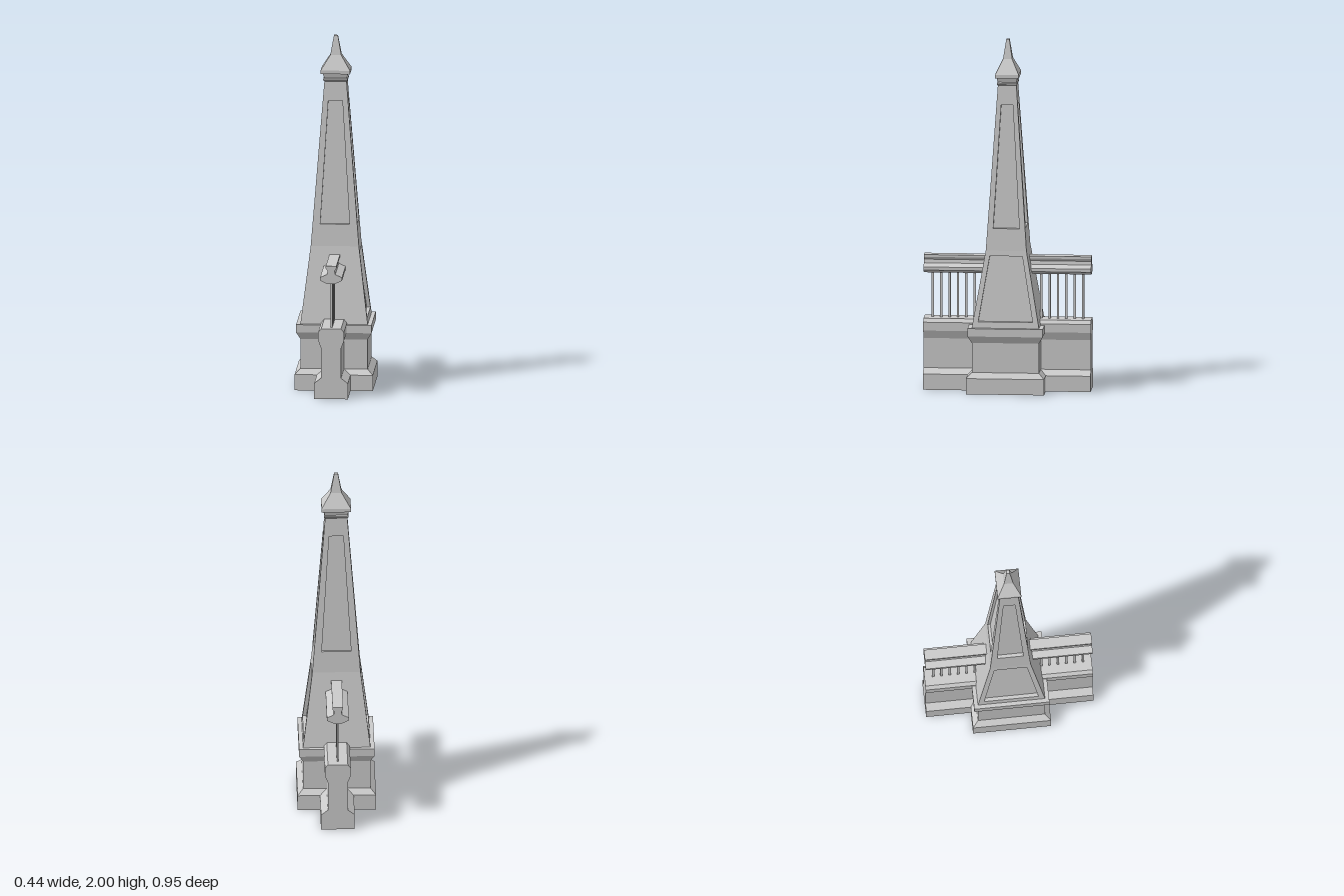
import * as THREE from 'three';

const material = new THREE.MeshStandardMaterial({ color: 0xcccccc, flatShading: true });

function addMesh(parent, name, geometry) {
  const mesh = new THREE.Mesh(geometry, material);
  mesh.name = name;
  parent.add(mesh);
  return mesh;
}

// Flat-faced geometry from quads, corners counter-clockwise seen from outside
function quadGeometry(quads) {
  const positions = [];
  for (const [a, b, c, d] of quads) {
    for (const p of [a, b, c, a, c, d]) positions.push(...p);
  }
  const geometry = new THREE.BufferGeometry();
  geometry.setAttribute('position', new THREE.Float32BufferAttribute(positions, 3));
  geometry.computeVertexNormals();
  return geometry;
}

// Closed stack of rectangular sections, rows of [y, halfX, halfZ]
function rectStack(rows) {
  const rings = rows.map(([y, x, z]) => [[-x, y, z], [x, y, z], [x, y, -z], [-x, y, -z]]);
  const quads = [];
  for (let i = 0; i < rings.length - 1; i++) {
    for (let k = 0; k < 4; k++) {
      const n = (k + 1) % 4;
      quads.push([rings[i][k], rings[i][n], rings[i + 1][n], rings[i + 1][k]]);
    }
  }
  quads.push([...rings[0]].reverse(), rings[rings.length - 1]);
  return quadGeometry(quads);
}

// Tapered face towards +z; bottom and top are [y, halfWidth, distance].
// An optional panel { bottom: [y, halfWidth], top: [y, halfWidth], depth } is sunk into it.
function shaftFace(bottom, top, panel) {
  const at = (x, y, inset = 0) => {
    const t = (y - bottom[0]) / (top[0] - bottom[0]);
    return [x, y, THREE.MathUtils.lerp(bottom[2], top[2], t) - inset];
  };
  const loop = ([y0, w0], [y1, w1], inset) =>
    [at(-w0, y0, inset), at(w0, y0, inset), at(w1, y1, inset), at(-w1, y1, inset)];
  const outer = loop(bottom, top);
  if (!panel) return [outer];
  const rim = loop(panel.bottom, panel.top);
  const floor = loop(panel.bottom, panel.top, panel.depth);
  const quads = [floor];
  for (let k = 0; k < 4; k++) {
    const n = (k + 1) % 4;
    quads.push([outer[k], outer[n], rim[n], rim[k]]);
    quads.push([rim[k], rim[n], floor[n], floor[k]]);
  }
  return quads;
}

// Mirrored profile of [halfX, y] points, extruded along z
function profileBar(points, z0, z1) {
  const left = points.map(([x, y]) => [-x, y]).reverse();
  const shape = new THREE.Shape([...points, ...left].map(([x, y]) => new THREE.Vector2(x, y)));
  const geometry = new THREE.ExtrudeGeometry(shape, { depth: z1 - z0, bevelEnabled: false });
  return geometry.translate(0, 0, z0);
}

export function createModel() {
  const model = new THREE.Group();
  model.name = 'obeliskWithRailings';

  // Moulded square pedestal
  addMesh(model, 'pedestal', rectStack([
    [0, 0.221, 0.221], [0.09, 0.221, 0.221], [0.12, 0.19, 0.19],
    [0.29, 0.19, 0.19], [0.33, 0.213, 0.213], [0.375, 0.213, 0.213],
  ]));

  // Shaft in two tapers, sections as [y, halfX, halfZ]
  const foot = [0.375, 0.19, 0.19], knee = [0.81, 0.136, 0.115], head = [1.75, 0.062, 0.052];
  const frontSection = ([y, x, z]) => [y, x, z];
  const sideSection = ([y, x, z]) => [y, z, x];
  const frontQuads = [
    ...shaftFace(frontSection(foot), frontSection(knee)),
    ...shaftFace(frontSection(knee), frontSection(head),
      { bottom: [0.935, 0.083], top: [1.635, 0.04], depth: 0.015 }),
  ];
  const sideQuads = [
    ...shaftFace(sideSection(foot), sideSection(knee),
      { bottom: [0.41, 0.154], top: [0.78, 0.092], depth: 0.021 }),
    ...shaftFace(sideSection(knee), sideSection(head),
      { bottom: [0.935, 0.074], top: [1.635, 0.033], depth: 0.02 }),
  ];
  const shaft = new THREE.Group();
  shaft.name = 'shaft';
  model.add(shaft);
  ['shaftFront', 'shaftLeft', 'shaftBack', 'shaftRight'].forEach((name, i) => {
    const face = addMesh(shaft, name, quadGeometry(i % 2 ? sideQuads : frontQuads));
    face.rotation.y = i * Math.PI / 2;
  });

  // Collar and pointed cap
  addMesh(model, 'collar', rectStack([
    [1.742, 0.06, 0.051], [1.75, 0.069, 0.057], [1.758, 0.069, 0.057],
    [1.763, 0.064, 0.053], [1.79, 0.071, 0.059],
  ]));
  addMesh(model, 'cap', rectStack([
    [1.788, 0.083, 0.067], [1.808, 0.083, 0.067], [1.89, 0.031, 0.026], [2, 0.011, 0.009],
  ]));

  // Low wall passing through the pedestal
  addMesh(model, 'lowWall', profileBar([
    [0.095, 0], [0.095, 0.09], [0.056, 0.12], [0.056, 0.29],
    [0.073, 0.335], [0.073, 0.383], [0.056, 0.403],
  ], -0.474, 0.474));

  // Handrail and balusters, front and back
  const railProfile = [
    [0.02, 0.66], [0.062, 0.68], [0.062, 0.698], [0.024, 0.715],
    [0.02, 0.735], [0.03, 0.75], [0.03, 0.763],
  ];
  for (const [label, side] of [['front', 1], ['back', -1]]) {
    const railing = new THREE.Group();
    railing.name = label + 'Railing';
    model.add(railing);
    const [z0, z1] = side > 0 ? [0.09, 0.474] : [-0.474, -0.09];
    addMesh(railing, label + 'Handrail', profileBar(railProfile, z0, z1));
    for (let i = 0; i < 6; i++) {
      const baluster = addMesh(railing, label + 'Baluster', new THREE.BoxGeometry(0.009, 0.27, 0.013));
      baluster.position.set(0, 0.53, side * (0.188 + i * 0.0474));
    }
  }
  return model;
}
